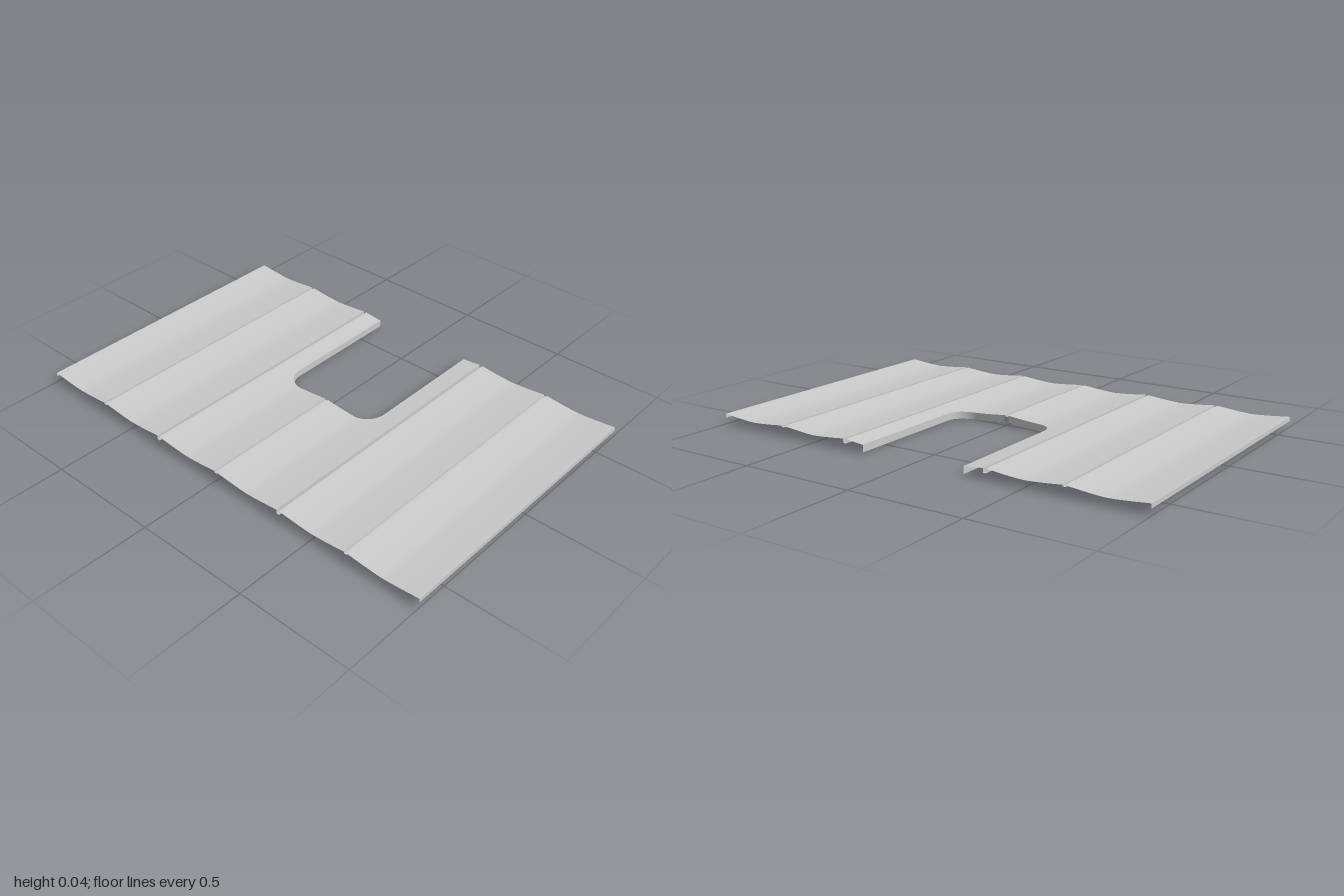
import * as THREE from 'three';

const X = 0.64;          // half width of the sheet
const PITCH = 1 / 3;     // rib spacing
const RIB = 0.007;       // half width of a rib
const TOP = 0.044, DIP = 0.031;
const NOTCH = 0.24, RADIUS = 0.09;

const material = new THREE.MeshStandardMaterial({ color: 0xcccccc, side: THREE.DoubleSide });

// Height of the sagging sheet at a given z
function sheetY(z) {
  const u = ((z % PITCH) + PITCH) % PITCH;
  const t = Math.min(1, Math.abs(u - PITCH / 2) / (PITCH / 2 - RIB));
  return DIP + (TOP - DIP) * Math.pow(t, 1.4);
}

// Right-hand limit of the sheet beside the notch
function notchX(z) {
  const d = Math.abs(z) - (NOTCH - RADIUS);
  return d <= 0 ? 0 : RADIUS - Math.sqrt(Math.max(0, RADIUS * RADIUS - d * d));
}

// Surface between successive pairs of points
function loft(name, rows, flat = false) {
  const index = [];
  for (let i = 0; i < rows.length - 1; i++) {
    const a = 2 * i;
    index.push(a, a + 2, a + 1, a + 1, a + 2, a + 3);
  }
  let g = new THREE.BufferGeometry();
  g.setAttribute('position', new THREE.Float32BufferAttribute(rows.flat(2), 3));
  g.setIndex(index);
  if (flat) g = g.toNonIndexed();
  g.computeVertexNormals();
  const mesh = new THREE.Mesh(g, material);
  mesh.name = name;
  return mesh;
}

function range(a, b, n) {
  return Array.from({ length: n + 1 }, (_, i) => a + (b - a) * i / n);
}

export function createModel() {
  const model = new THREE.Group();
  model.name = 'ribbedSheet';

  // Strip of sheet along x, cut back where it meets the notch
  const panel = (name, zs, limit) => model.add(loft(name, zs.map(z =>
    [[-X, sheetY(z), z], [limit(z), sheetY(z), z]])));
  const full = () => X;

  // Rounded corner samples, from the notch back to its side
  const corner = range(0, Math.PI / 2, 12).map(a => NOTCH - RADIUS + RADIUS * Math.sin(a));
  const notchZ = [...range(RIB, NOTCH - RADIUS, 12), ...corner.slice(1)];

  for (const s of [-1, 1]) {
    const order = list => s > 0 ? list : list.map(z => -z).reverse();

    // Outer sagging panels
    for (const k of [1, 2]) {
      const end = k === 2 ? 1 : (k + 1) * PITCH - RIB;
      panel('outerPanel', order(range(k * PITCH + RIB, end, 20)), full);
    }

    // Inner panel: the part beside the notch and the part behind it
    panel('innerPanel', order(range(NOTCH, PITCH - RIB, 8)), full);
    panel('notchedPanel', order(notchZ), notchX);

    // Turned-down lip along the notch
    const path = notchZ.filter(z => z > RIB).map(z => [notchX(z), z]);
    path.unshift([0, 0.011]);
    path.push([X, NOTCH]);
    model.add(loft('notchLip', path.map(([x, z]) =>
      [[x, sheetY(z), s * z], [x, sheetY(z) - DIP, s * z]])));

    // Turned-down lip along the outer edge
    model.add(loft('edgeLip', [
      [[-X, TOP, s], [X, TOP, s]],
      [[-X, TOP - 0.018, s], [X, TOP - 0.018, s]],
    ], true));
  }

  // Narrow channels between panels: deep at the joints, shallow mid-way
  for (let k = -2; k <= 2; k++) {
    const z = k * PITCH;
    const depth = Math.abs(k) === 1 ? 0.018 : 0.006;
    const right = k === 0 ? 0 : X;
    const profile = [[-RIB, TOP], [-RIB, TOP - depth], [RIB, TOP - depth], [RIB, TOP]];
    model.add(loft(Math.abs(k) === 1 ? 'jointRib' : 'middleRib',
      profile.map(([dz, y]) => [[-X, y, z + dz], [right, y, z + dz]]), true));
  }

  return model;
}
